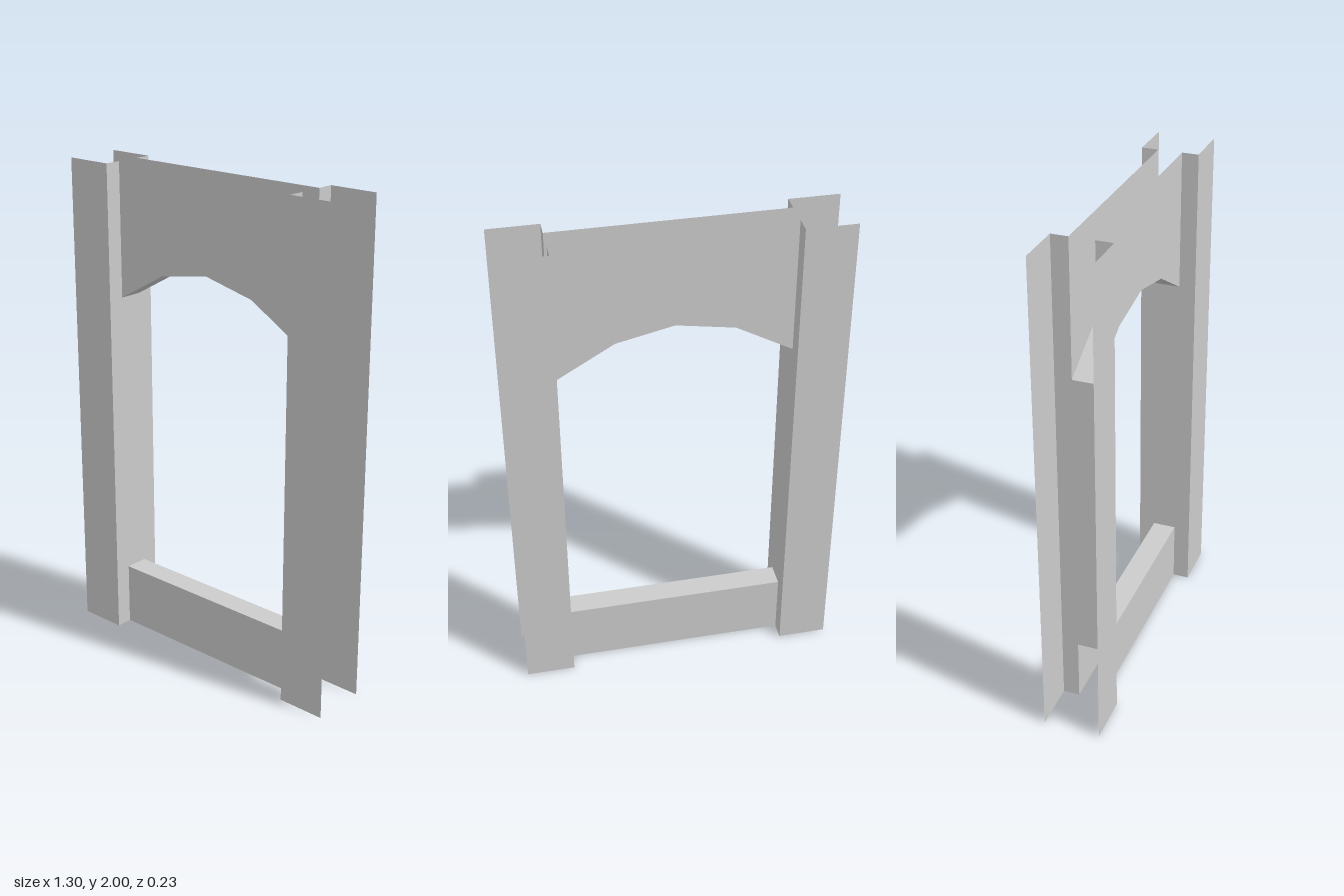
import * as THREE from 'three';

const HEIGHT = 2, INNER = 0.452, OUTER = 0.65;
const POST_Z = 0.115, PANEL_Z = 0.048, SILL_Y = 0.26;
// Underside of the arch, slightly uneven
const ARCH = [[-INNER, 1.455], [-0.23, 1.58], [0, 1.62], [0.225, 1.57], [INNER, 1.437]];

const material = new THREE.MeshStandardMaterial({ color: 0xcccccc, flatShading: true, side: THREE.DoubleSide });

function addMesh(parent, name, geometry) {
  const mesh = new THREE.Mesh(geometry, material);
  mesh.name = name;
  parent.add(mesh);
  return mesh;
}

// Flat sheet from an outline of [x, y] points
function sheet(points) {
  return new THREE.ShapeGeometry(new THREE.Shape(points.map(([x, y]) => new THREE.Vector2(x, y))));
}

const rect = (x0, y0, x1, y1) => [[x0, y0], [x1, y0], [x1, y1], [x0, y1]];

// The same outline facing front and back, a distance z from the middle
function addPair(parent, name, points, z) {
  addMesh(parent, name + 'Front', sheet(points).translate(0, 0, z));
  const mirrored = points.map(([x, y]) => [-x, y]);
  addMesh(parent, name + 'Back', sheet(mirrored).rotateY(Math.PI).translate(0, 0, -z));
}

// Strip across the panel thickness, following the arch and facing down
function archSoffit() {
  const position = [];
  for (let i = 0; i < ARCH.length - 1; i++) {
    const [x0, y0] = ARCH[i], [x1, y1] = ARCH[i + 1];
    const a = [x0, y0, -PANEL_Z], b = [x1, y1, -PANEL_Z];
    const c = [x1, y1, PANEL_Z], d = [x0, y0, PANEL_Z];
    position.push(...a, ...b, ...c, ...a, ...c, ...d);
  }
  const geometry = new THREE.BufferGeometry();
  geometry.setAttribute('position', new THREE.Float32BufferAttribute(position, 3));
  geometry.computeVertexNormals();
  return geometry;
}

export function createModel() {
  const model = new THREE.Group();
  model.name = 'archedFrame';

  // Posts: front and back boards joined by a jamb, open on the outside and ends
  for (const side of [-1, 1]) {
    const post = new THREE.Group();
    post.name = side > 0 ? 'leftPost' : 'rightPost';
    const x0 = Math.min(side * INNER, side * OUTER);
    const x1 = Math.max(side * INNER, side * OUTER);
    addPair(post, 'board', rect(x0, 0, x1, HEIGHT), POST_Z);

    // Jamb is notched where the header and sill meet it
    const spring = ARCH[side > 0 ? ARCH.length - 1 : 0][1];
    const jamb = sheet([
      [-POST_Z, 0], [-PANEL_Z, 0], [-PANEL_Z, SILL_Y], [PANEL_Z, SILL_Y], [PANEL_Z, 0], [POST_Z, 0],
      [POST_Z, HEIGHT], [PANEL_Z, HEIGHT], [PANEL_Z, spring], [-PANEL_Z, spring], [-PANEL_Z, HEIGHT], [-POST_Z, HEIGHT],
    ]);
    addMesh(post, 'jamb', jamb.rotateY(-side * Math.PI / 2).translate(side * INNER, 0, 0));
    model.add(post);
  }

  // Header with arched underside, open on top
  const header = new THREE.Group();
  header.name = 'header';
  addPair(header, 'headerPanel', [...ARCH, [INNER, HEIGHT], [-INNER, HEIGHT]], PANEL_Z);
  addMesh(header, 'archSoffit', archSoffit());
  model.add(header);

  // Sill, open underneath
  const sill = new THREE.Group();
  sill.name = 'sill';
  addPair(sill, 'sillPanel', rect(-INNER, 0, INNER, SILL_Y), PANEL_Z);
  addMesh(sill, 'sillTop', new THREE.PlaneGeometry(INNER * 2, PANEL_Z * 2).rotateX(-Math.PI / 2).translate(0, SILL_Y, 0));
  model.add(sill);

  return model;
}
